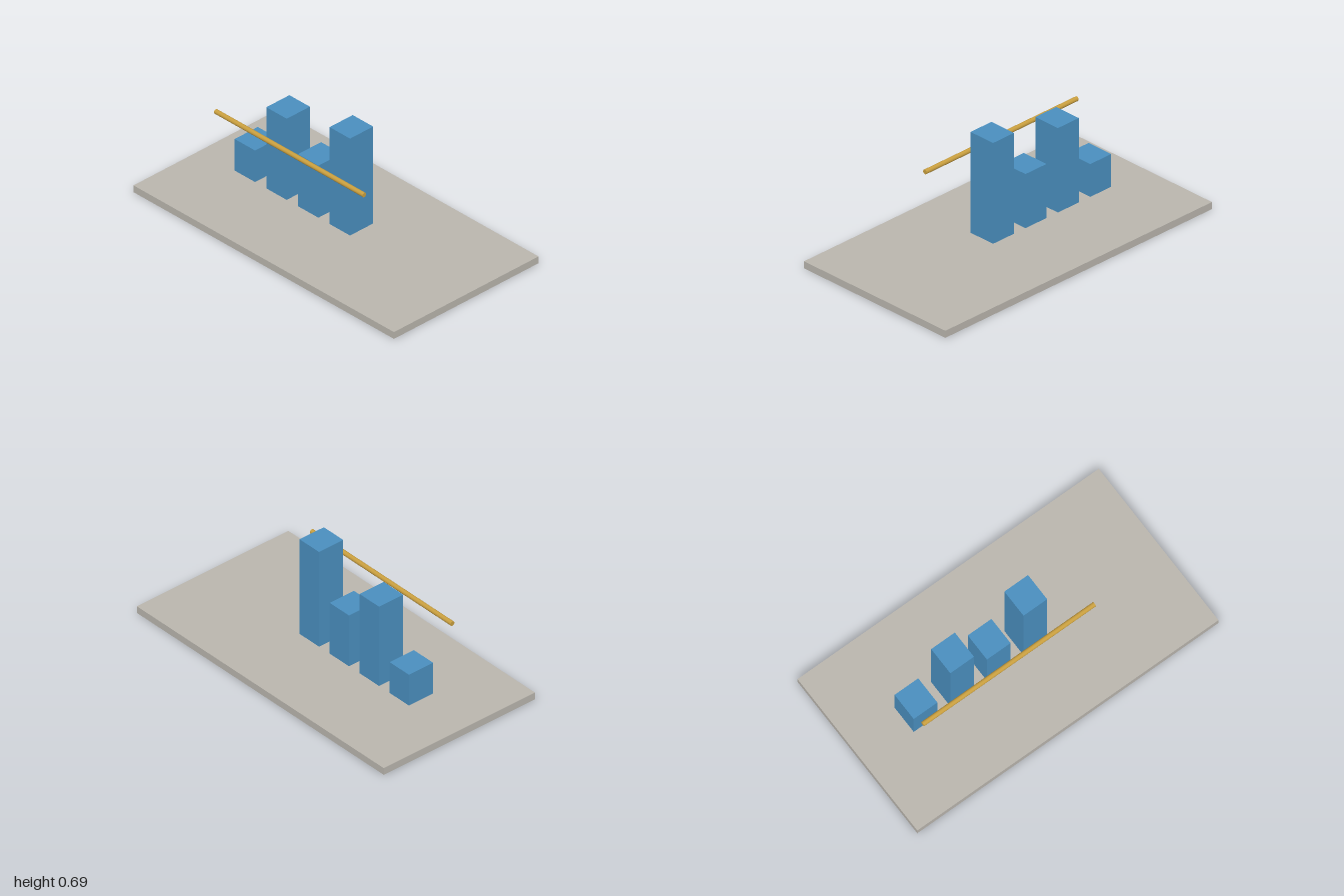
import * as THREE from 'three';

function material(name, color) {
  const m = new THREE.MeshStandardMaterial({ color });
  m.name = name;
  return m;
}

export function createModel() {
  const model = new THREE.Group();
  model.name = 'barChart';
  const stone = material('warm grey', 0xbab6ae);
  const blue = material('blue', 0x4a8fbf);
  const gold = material('gold', 0xc99f3f);

  const add = (name, geometry, mat, x, y, z) => {
    const mesh = new THREE.Mesh(geometry, mat);
    mesh.name = name;
    mesh.position.set(x, y, z);
    model.add(mesh);
    return mesh;
  };

  // Base slab
  add('base', new THREE.BoxGeometry(2, 0.043, 1.07), stone, 0, 0.0215, 0);

  // Row of bars floating just above the base
  const bottom = 0.08;
  [0.28, 0.595, 0.41, 0.695].forEach((top, i) => {
    const height = top - bottom;
    add(`bar${i + 1}`, new THREE.BoxGeometry(0.157, height, 0.171), blue,
      -0.611 + i * 0.243, bottom + height / 2, 0);
  });

  // Horizontal marker rod in front of the bars
  const rod = add('levelRod', new THREE.CylinderGeometry(0.0138, 0.0138, 1.14, 24), gold, -0.145, 0.495, 0.2);
  rod.rotation.z = Math.PI / 2;

  return model;
}
